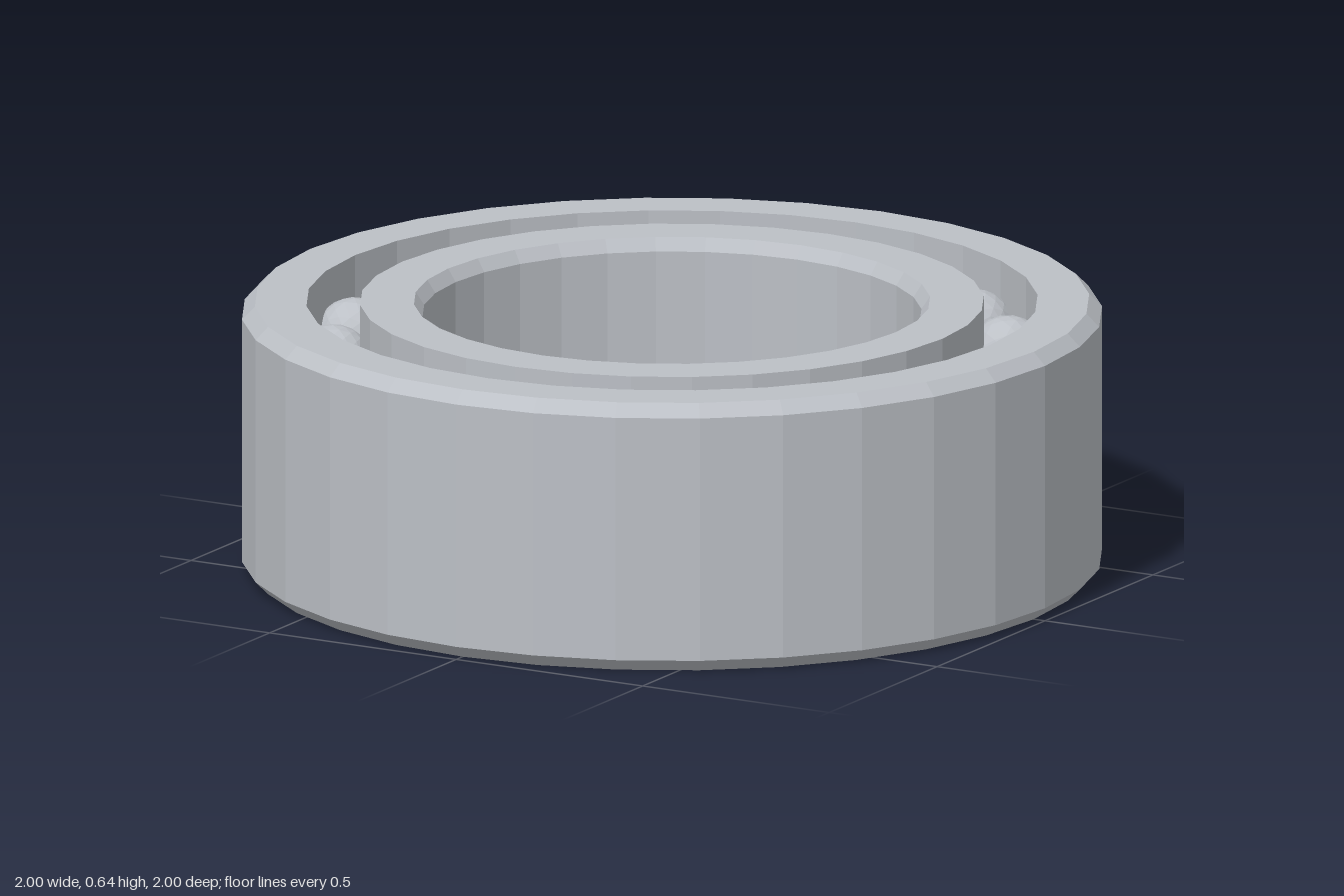
import * as THREE from 'three';

const HEIGHT = 0.64;
const SEGMENTS = 32;
const BALLS = 19;

// Gives every face its own normal for a faceted look
function faceted(geometry) {
  const flat = geometry.index ? geometry.toNonIndexed() : geometry;
  flat.computeVertexNormals();
  return flat;
}

// Closed ring profile, listed counter-clockwise as [radius, height]
function ring(name, profile, material) {
  const points = [...profile, profile[0]].map(([r, y]) => new THREE.Vector2(r, y));
  const mesh = new THREE.Mesh(faceted(new THREE.LatheGeometry(points, SEGMENTS)), material);
  mesh.name = name;
  return mesh;
}

export function createModel() {
  const model = new THREE.Group();
  model.name = 'ballBearing';
  const steel = new THREE.MeshStandardMaterial({ color: 0xbcc0c6 });
  steel.name = 'steel';

  // Outer ring, chamfered on its outside edges
  model.add(ring('outerRing', [
    [0.85, 0], [0.97, 0], [1, 0.03], [1, HEIGHT - 0.03], [0.97, HEIGHT], [0.85, HEIGHT],
  ], steel));

  // Inner ring, chamfered around the bore
  model.add(ring('innerRing', [
    [0.6, 0], [0.725, 0], [0.725, HEIGHT], [0.6, HEIGHT], [0.58, HEIGHT - 0.03], [0.58, 0.03],
  ], steel));

  // Two rows of balls between the rings
  const ballGeometry = faceted(new THREE.IcosahedronGeometry(0.095, 3));
  for (const [name, y] of [['lowerBalls', 0.16], ['upperBalls', HEIGHT - 0.16]]) {
    const row = new THREE.Group();
    row.name = name;
    for (let i = 0; i < BALLS; i++) {
      const angle = (i / BALLS) * Math.PI * 2;
      const ball = new THREE.Mesh(ballGeometry, steel);
      ball.name = 'ball';
      ball.position.set(0.787 * Math.cos(angle), y, 0.787 * Math.sin(angle));
      ball.rotation.y = -angle;
      row.add(ball);
    }
    model.add(row);
  }
  return model;
}
